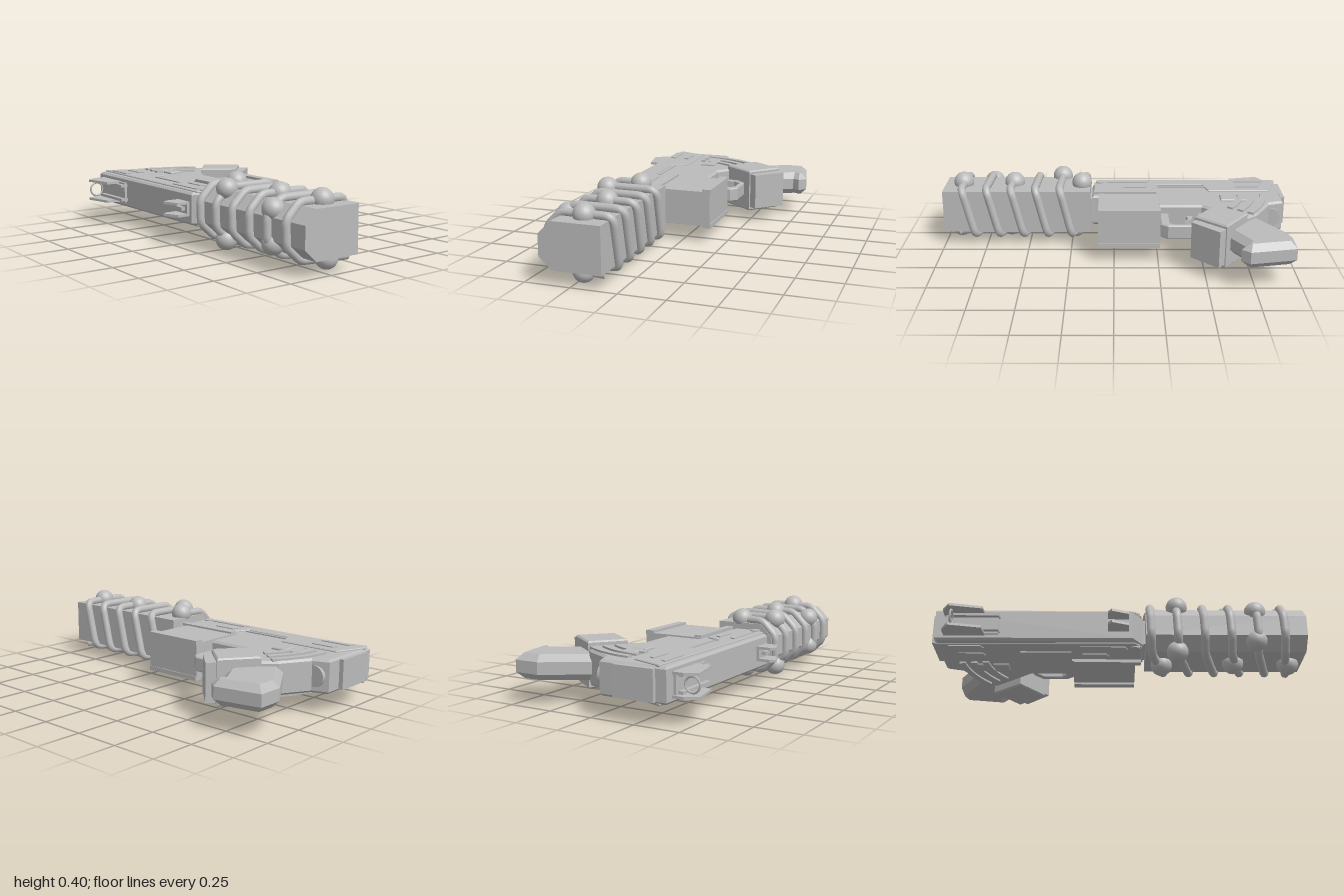
import * as THREE from 'three';

const grey = new THREE.MeshStandardMaterial({ color: 0xbbbbbb });
grey.name = 'grey';
const MID = 0.2;

export function createModel() {
  const model = new THREE.Group();
  const add = (name, geometry) => {
    const mesh = new THREE.Mesh(geometry, grey);
    mesh.name = name;
    model.add(mesh);
    return mesh;
  };
  // Outline in (x, z), extruded upward from y0 to y1 with an optional chamfer
  const slab = (name, pts, y0, y1, bevel = 0, hole) => {
    const toV = ([x, z]) => new THREE.Vector2(x, -z);
    const shape = new THREE.Shape(pts.map(toV));
    if (hole) shape.holes.push(new THREE.Path(hole.map(toV)));
    const g = new THREE.ExtrudeGeometry(shape, {
      depth: y1 - y0 - 2 * bevel, bevelEnabled: bevel > 0, bevelSize: bevel,
      bevelThickness: bevel, bevelOffset: -bevel, bevelSegments: 1, curveSegments: 12,
    });
    g.rotateX(-Math.PI / 2).translate(0, y0 + bevel, 0);
    return add(name, g);
  };
  const box = (name, x0, x1, y0, y1, z0, z1) => {
    const g = new THREE.BoxGeometry(x1 - x0, y1 - y0, z1 - z0);
    return add(name, g.translate((x0 + x1) / 2, (y0 + y1) / 2, (z0 + z1) / 2));
  };
  // The same relief on both broad sides
  const bothSides = (name, pts, from, to, bevel = 0) => {
    slab(name, pts, from, to, bevel);
    slab(name, pts, 2 * MID - to, 2 * MID - from, bevel);
  };

  // Receiver
  slab('receiver', [[-0.98, 0.42], [0.07, 0.42], [0.13, 0.33], [0.13, 0.12], [-0.25, 0.12],
    [-0.25, -0.03], [-0.5, -0.03], [-0.57, -0.09], [-0.72, -0.22], [-0.8, -0.15], [-0.89, 0.01],
    [-0.975, 0.04]], 0.11, 0.29, 0.012);
  box('rearPlate', -1, -0.975, 0.12, 0.28, 0.13, 0.36);
  const knob = new THREE.CylinderGeometry(0.058, 0.058, 0.1, 16).rotateX(Math.PI / 2);
  add('rearKnob', knob.translate(-0.9, MID, 0.06));
  box('barrelNeck', 0.1, 0.16, 0.13, 0.27, 0.13, 0.33);

  // Raised side panels with ribs and a pivot pin
  bothSides('sidePanel', [[-0.98, 0.38], [-0.91, 0.2], [-0.56, 0.2], [-0.53, 0.3], [-0.26, 0.3],
    [-0.21, 0.2], [0.12, 0.2], [0.12, 0.34], [0.08, 0.39]], 0.285, 0.298, 0.004);
  for (const [x0, x1, z0, z1] of [[-0.87, -0.74, 0.25, 0.28], [-0.91, -0.74, 0.34, 0.37],
    [-0.2, -0.07, 0.24, 0.27], [-0.21, 0.03, 0.33, 0.36]])
    bothSides('sideRib', [[x0, z1], [x1, z1], [x1 + 0.015, z0], [x0 + 0.015, z0]], 0.29, 0.303);
  bothSides('centreRail', [[-0.6, 0.28], [-0.26, 0.28], [-0.26, 0.265], [-0.6, 0.265]], 0.285, 0.297);
  add('pivotPin', new THREE.CylinderGeometry(0.027, 0.027, 0.21, 16).translate(0.085, MID, 0.34));
  for (const x of [-0.8, -0.7])
    bothSides('catchBlock', [[x, 0.12], [x + 0.085, 0.12], [x + 0.085, 0.035], [x, 0.035]], 0.285, 0.302, 0.005);

  // Curved ribs sweeping down to the grip
  for (const r of [0.6, 0.535, 0.47]) {
    const arc = (radius) => Array.from({ length: 9 }, (_, i) => {
      const a = Math.PI + 0.08 + i * 0.07;
      return [-0.29 + radius * Math.cos(a), 0.19 + radius * Math.sin(a)];
    });
    bothSides('curvedRib', [...arc(r), ...arc(r - 0.035).reverse()], 0.285, 0.3);
  }

  // Grip with a faceted end
  slab('grip', [[-0.96, -0.5], [-0.71, -0.55], [-0.665, -0.51], [-0.69, -0.47], [-0.6, -0.31],
    [-0.66, -0.16], [-0.8, -0.11], [-0.96, -0.36]], 0.13, 0.265, 0.035);

  // Angled block behind the trigger
  slab('angledBlockCap', [[-0.56, -0.435], [-0.42, -0.295], [-0.47, -0.22], [-0.62, -0.36]], 0.088, 0.295);
  slab('angledBlock', [[-0.6, -0.395], [-0.44, -0.25], [-0.57, -0.075], [-0.735, -0.21]], 0.065, 0.315, 0.008);

  // Trigger and guard
  slab('triggerGuard', [[-0.5, 0], [-0.5, -0.16], [-0.45, -0.215], [-0.3, -0.215], [-0.26, -0.18], [-0.26, 0]],
    0.16, 0.24, 0.006, [[-0.475, -0.03], [-0.31, -0.03], [-0.31, -0.165], [-0.335, -0.185],
      [-0.44, -0.185], [-0.475, -0.145]]);
  slab('trigger', [[-0.45, -0.02], [-0.41, -0.02], [-0.42, -0.07], [-0.4, -0.11], [-0.44, -0.08]], 0.175, 0.225);

  // Magazine housing
  box('magazineHousing', -0.26, 0.09, 0.1, 0.298, -0.165, 0.18);
  for (const s of [1, -1]) {
    const y = MID + s * 0.1;
    box('housingLip', -0.26, 0.09, y - 0.012, y + 0.012, -0.17, -0.12);
    box('housingBand', -0.25, 0.12, y - 0.008, y + 0.008, 0.14, 0.18);
  }

  // Fork-shaped sights along the front
  const fork = (name, pts, y0, y1, t) => {
    slab(name, pts, y0, y0 + t);
    slab(name, pts, y1 - t, y1);
  };
  fork('rearSightCheek', [[-0.93, 0.41], [-0.93, 0.48], [-0.89, 0.545], [-0.72, 0.51], [-0.71, 0.41]], 0.135, 0.262, 0.014);
  fork('rearSightInner', [[-0.9, 0.41], [-0.9, 0.46], [-0.64, 0.46], [-0.63, 0.41]], 0.15, 0.25, 0.016);
  box('rearSightBase', -0.92, -0.64, 0.14, 0.26, 0.41, 0.435);
  const ring = new THREE.TorusGeometry(0.04, 0.006, 6, 20).rotateY(Math.PI / 2);
  add('rearSightRing', ring.translate(-0.88, MID, 0.5));
  fork('frontSightCheek', [[-0.06, 0.41], [-0.06, 0.5], [-0.04, 0.53], [0.05, 0.495], [0.05, 0.41]], 0.16, 0.24, 0.014);
  box('frontSightBlade', -0.03, 0.03, 0.19, 0.21, 0.41, 0.46);
  box('frontSightBase', -0.06, 0.05, 0.16, 0.24, 0.41, 0.435);

  // Barrel: chamfered section in (z, y) running along x
  const section = new THREE.Shape([[0.08, 0.08], [0.345, 0.08], [0.415, 0.145], [0.415, 0.26],
    [0.345, 0.33], [0.08, 0.33]].map(([z, y]) => new THREE.Vector2(-z, y)));
  const barrel = new THREE.ExtrudeGeometry(section, { depth: 0.86, bevelEnabled: false });
  add('barrel', barrel.rotateY(Math.PI / 2).translate(0.14, 0, 0));

  // Cable wound around the barrel
  const loop = [[0, 0.345, 0.345], [0, 0.425, 0.265], [0.005, 0.425, 0.14], [0.01, 0.345, 0.065],
    [0.08, 0.085, 0.065], [0.09, 0.065, 0.09], [0.145, 0.065, 0.32], [0.155, 0.09, 0.347]];
  const path = [new THREE.Vector3(0.185, 0.345, 0.2)];
  for (let i = 0; i < 6; i++)
    for (const [dx, z, y] of i < 5 ? loop : loop.slice(0, 5))
      path.push(new THREE.Vector3(Math.min(0.165 + i * 0.142 + dx, 0.93), y, z));
  const cable = new THREE.CurvePath();
  // Short rounded bends at every corner
  let last = path[0];
  for (let i = 1; i < path.length - 1; i++) {
    const p = path[i];
    const bend = (q) => p.clone().lerp(q, Math.min(0.4, 0.03 / p.distanceTo(q)));
    const a = bend(path[i - 1]), b = bend(path[i + 1]);
    cable.add(new THREE.LineCurve3(last, a));
    cable.add(new THREE.QuadraticBezierCurve3(a, p, b));
    last = b;
  }
  cable.add(new THREE.LineCurve3(last, path[path.length - 1]));
  add('woundCable', new THREE.TubeGeometry(cable, 900, 0.023, 10, false));

  // Round beads on the cable: x, y, z
  const beads = [[0.19, 0.348, 0.205], [0.31, 0.338, 0.355], [0.59, 0.342, 0.23], [0.73, 0.295, 0.385],
    [0.89, 0.348, 0.215], [0.31, 0.07, 0.36], [0.23, 0.06, 0.21], [0.62, 0.067, 0.22],
    [0.73, 0.125, 0.385], [0.92, 0.067, 0.21]];
  for (const [x, y, z] of beads)
    add('bead', new THREE.SphereGeometry(0.058, 24, 16).translate(x, y, z));

  return model;
}
